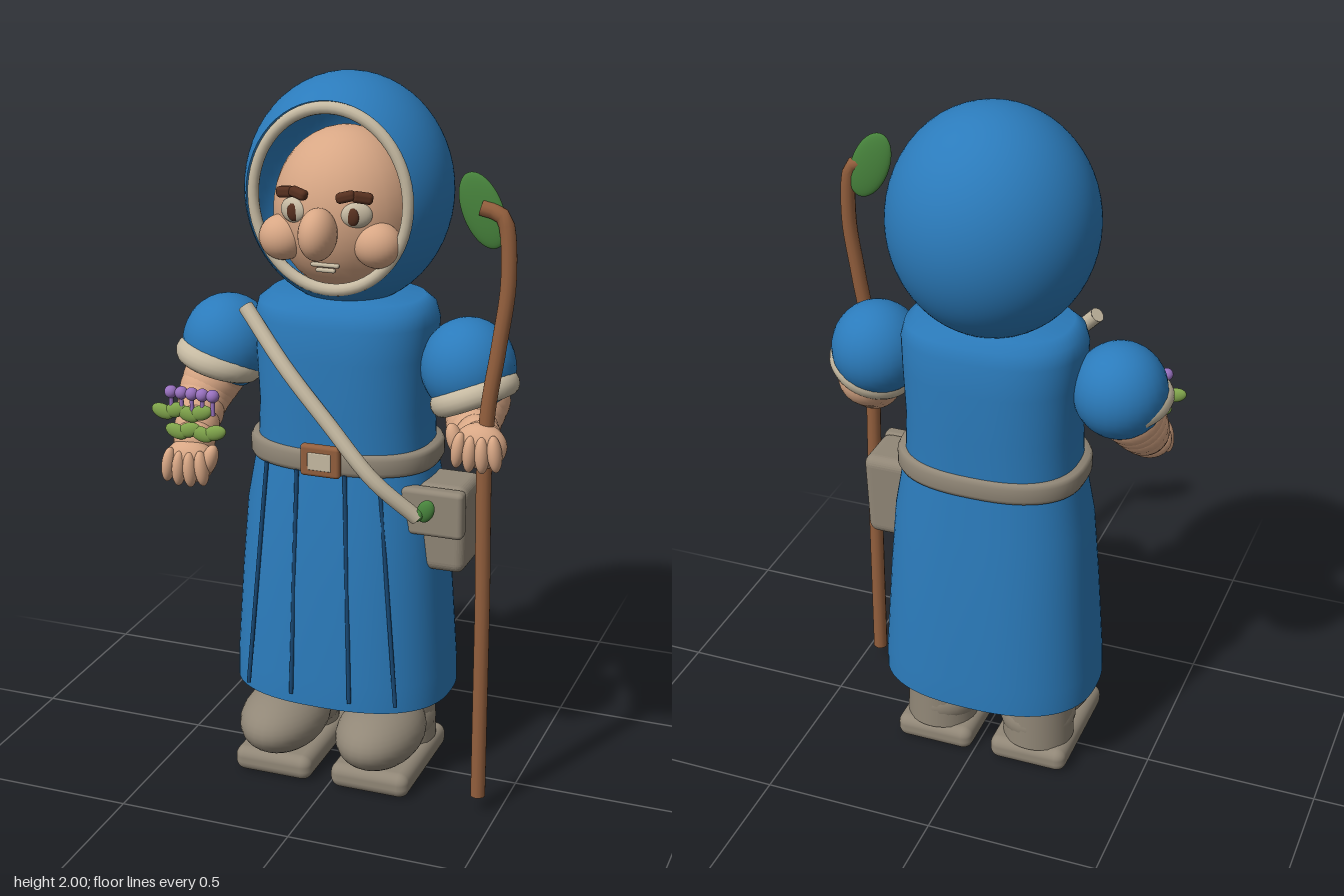
import * as THREE from 'three';
import { RoundedBoxGeometry } from 'three/addons/geometries/RoundedBoxGeometry.js';

const mat = (name, color, side = THREE.FrontSide) => {
  const m = new THREE.MeshStandardMaterial({ color, side });
  m.name = name;
  return m;
};
const V = (x, y, z) => new THREE.Vector3(x, y, z);

export function createModel() {
  const blue = mat('blue cloth', 0x2b7bbb, THREE.DoubleSide);
  const navy = mat('dark blue pleat', 0x17456f);
  const skin = mat('skin', 0xd8a785);
  const cream = mat('cream trim', 0xc6baa2);
  const taupe = mat('taupe leather', 0x918777);
  const wood = mat('brown wood', 0x935f3d);
  const hair = mat('dark brown', 0x56301f);
  const leafGreen = mat('leaf green', 0x47833c);
  const sprigGreen = mat('sprig green', 0x7ea24a);
  const purple = mat('purple', 0x9770bd);

  const model = new THREE.Group();
  const CX = -0.023; // body centre line

  const add = (name, geo, material, pos = [0, 0, 0], rot = [0, 0, 0], parent = model) => {
    const m = new THREE.Mesh(geo, material);
    m.name = name;
    m.position.set(...pos);
    m.rotation.set(...rot);
    parent.add(m);
    return m;
  };
  const blob = (name, material, pos, r, rot, parent) =>
    add(name, new THREE.SphereGeometry(1, 28, 20), material, pos, rot, parent).scale.set(...r);
  const box = (name, material, pos, s, radius, rot, parent) =>
    add(name, new RoundedBoxGeometry(...s, 3, radius), material, pos, rot, parent);
  // round rod with flat ends following a curve
  const rod = (name, material, pts, r, steps = 24, parent = model) => {
    const curve = new THREE.CatmullRomCurve3(pts.map(p => V(...p)), false, 'centripetal');
    add(name, new THREE.TubeGeometry(curve, steps, r, 12), material, [0, 0, 0], [0, 0, 0], parent);
    [0, 1].forEach(t => {
      const cap = add(name + 'End', new THREE.CircleGeometry(r, 12), material, curve.getPoint(t).toArray(), [0, 0, 0], parent);
      cap.quaternion.setFromUnitVectors(V(0, 0, 1), curve.getTangent(t).multiplyScalar(t ? 1 : -1));
    });
  };
  // closed body lofted through superellipse rings [y, halfWidth, halfDepth, zCentre]
  const loft = (rings, n = 64, power = 2.5) => {
    const pos = [], idx = [];
    const soft = c => Math.sign(c) * Math.abs(c) ** (2 / power);
    rings.forEach(([y, rx, rz, cz]) => {
      for (let i = 0; i < n; i++) {
        const a = i / n * Math.PI * 2;
        pos.push(CX + soft(Math.cos(a)) * rx, y, cz + soft(Math.sin(a)) * rz);
      }
    });
    for (let j = 0; j < rings.length - 1; j++) for (let i = 0; i < n; i++) {
      const a = j * n + i, b = j * n + (i + 1) % n;
      idx.push(a, a + n, b, b, a + n, b + n);
    }
    const g = new THREE.BufferGeometry();
    g.setAttribute('position', new THREE.Float32BufferAttribute(pos, 3));
    g.setIndex(idx);
    g.computeVertexNormals();
    return g;
  };

  // robe
  add('tunic', loft([[0.94, 0.25, 0.185, -0.025], [1.1, 0.243, 0.187, -0.025], [1.25, 0.25, 0.192, -0.025],
    [1.34, 0.255, 0.185, -0.025], [1.38, 0.245, 0.172, -0.025], [1.405, 0.215, 0.15, -0.025], [1.41, 0.001, 0.001, -0.025]]), blue);
  add('skirt', loft([[0.255, 0.001, 0.001, -0.023], [0.25, 0.315, 0.233, -0.023]]), blue);
  add('skirt', loft([[0.25, 0.317, 0.235, -0.023], [0.33, 0.316, 0.234, -0.023], [0.6, 0.298, 0.22, -0.023],
    [0.8, 0.282, 0.203, -0.023], [0.95, 0.255, 0.188, -0.025]]), blue);
  [[-0.2, -0.245, 0.14, 0.19], [-0.1, -0.105, 0.166, 0.213], [0.04, 0.07, 0.166, 0.213], [0.13, 0.199, 0.14, 0.19]]
    .forEach(([x0, x1, z0, z1]) => rod('pleat', navy, [[x0, 0.94, z0], [x1, 0.28, z1]], 0.006, 2));

  // belt and buckle
  add('belt', loft([[0.935, 0.25, 0.18, -0.025], [0.937, 0.265, 0.193, -0.025], [0.95, 0.271, 0.2, -0.025],
    [0.985, 0.271, 0.2, -0.025], [0.998, 0.265, 0.193, -0.025], [1.0, 0.24, 0.175, -0.025]]), taupe);
  box('buckle', wood, [CX, 0.98, 0.182], [0.115, 0.09, 0.026], 0.01);
  box('bucklePlate', cream, [CX, 0.98, 0.194], [0.068, 0.05, 0.008], 0.003);

  // hood open at the front, with trim
  const open = Math.acos(0.155 / 0.275);
  const hood = add('hood', new THREE.SphereGeometry(1, 56, 36, 0, Math.PI * 2, open, Math.PI - open).rotateX(Math.PI / 2),
    blue, [CX, 1.685, -0.04]);
  hood.scale.set(0.285, 0.315, 0.275);
  add('hoodTrim', new THREE.TorusGeometry(1, 0.07, 12, 64), cream, [CX, 1.683, 0.108]).scale.set(0.218, 0.243, 0.22);

  // face
  blob('face', skin, [CX, 1.635, -0.02], [0.2, 0.225, 0.19]);
  blob('nose', skin, [CX, 1.61, 0.195], [0.05, 0.07, 0.065]);
  box('upperLip', cream, [CX, 1.516, 0.143], [0.08, 0.011, 0.014], 0.005);
  box('lowerLip', cream, [CX, 1.501, 0.139], [0.055, 0.011, 0.014], 0.005);
  for (const s of [-1, 1]) {
    blob('cheek', skin, [CX + s * 0.134, 1.573, 0.105], [0.066, 0.062, 0.06]);
    blob('eye', cream, [CX + s * 0.088, 1.657, 0.142], [0.042, 0.034, 0.02], [0, s * 0.35, 0]);
    blob('iris', hair, [CX + s * 0.083, 1.655, 0.157], [0.018, 0.024, 0.01]);
    box('brow', hair, [CX + s * 0.108, 1.706, 0.15], [0.055, 0.03, 0.028], 0.011, [0, s * 0.4, -s * 0.15]);
    box('brow', hair, [CX + s * 0.066, 1.708, 0.164], [0.052, 0.028, 0.028], 0.011, [0, s * 0.2, s * 0.25]);
  }

  // sleeves, arms and hands
  const arm = (name, sleeve, cuff, axis, path, hand) => {
    const g = new THREE.Group();
    g.name = name;
    model.add(g);
    blob('sleeve', blue, sleeve, [0.13, 0.135, 0.13], [0, 0, 0], g);
    const ring = add('cuff', new THREE.TorusGeometry(0.098, 0.028, 14, 40), cream, cuff, [0, 0, 0], g);
    ring.quaternion.setFromUnitVectors(V(0, 0, 1), V(...axis).normalize());
    ring.scale.z = 1.2;
    const curve = new THREE.CatmullRomCurve3(path.map(p => V(...p)));
    for (let i = 0; i <= 6; i++) {
      const r = 0.088 - i * 0.005;
      blob('forearm', skin, curve.getPoint(i / 6).toArray(), [r, r, r], [0, 0, 0], g);
    }
    const [x, y, z] = hand;
    blob('palm', skin, hand, [0.072, 0.062, 0.05], [0, 0, 0], g);
    for (let i = 0; i < 4; i++) {
      const u = i - 1.5;
      blob('finger', skin, [x + u * 0.033, y - 0.015 + Math.abs(u) * 0.006, z + 0.042 - Math.abs(u) * 0.005],
        [0.019, 0.05, 0.024], [0, 0, u * 0.08], g);
    }
    blob('thumb', skin, [x - Math.sign(x) * 0.065, y + 0.015, z + 0.015], [0.022, 0.045, 0.025], [0, 0, Math.sign(x) * 0.3], g);
  };
  arm('rightArm', [-0.372, 1.232, -0.005], [-0.39, 1.185, 0.02], [-0.27, -0.96, 0.12],
    [[-0.4, 1.15, 0.02], [-0.42, 1.08, 0.07], [-0.39, 1.0, 0.2]], [-0.385, 0.955, 0.24]);
  arm('leftArm', [0.332, 1.232, -0.005], [0.358, 1.165, 0.015], [0.4, -0.92, 0.12],
    [[0.36, 1.14, -0.01], [0.365, 1.085, 0.05], [0.425, 1.085, 0.17]], [0.43, 1.085, 0.195]);

  // herb sprig in the right hand
  [[-0.398, 1.098], [-0.358, 1.045]].forEach(([x, y]) => {
    for (let i = 0; i < 4; i++)
      blob('sprigLeaf', sprigGreen, [x + (i - 1.5) * 0.038, y + (i % 2 ? 0.005 : -0.003), 0.258],
        [0.034, 0.021, 0.013], [0, 0, i % 2 ? 0.3 : -0.3]);
  });
  for (let i = 0; i < 5; i++) {
    const x = -0.428 + i * 0.031;
    blob('flower', purple, [x, 1.155, 0.26], [0.018, 0.018, 0.018]);
    rod('flowerStem', purple, [[x, 1.1, 0.26], [x, 1.15, 0.26]], 0.006, 2);
  }

  // staff with a leaf
  rod('staff', wood, [[0.443, 0.05, 0.185], [0.443, 0.6, 0.185], [0.443, 1.15, 0.185], [0.468, 1.35, 0.177],
    [0.487, 1.53, 0.168], [0.472, 1.68, 0.16], [0.455, 1.697, 0.16], [0.41, 1.71, 0.165]], 0.021, 60);
  blob('staffLeaf', leafGreen, [0.41, 1.7, 0.153], [0.055, 0.103, 0.015], [0, 0, 0.4]);

  // shoulder strap and satchel
  rod('strap', cream, [[-0.262, 1.375, 0.125], [-0.13, 1.23, 0.17], [0.0, 1.09, 0.185], [0.13, 0.945, 0.187], [0.24, 0.835, 0.14]], 0.021);
  const satchel = new RoundedBoxGeometry(0.155, 0.255, 0.175, 4, 0.03);
  const p = satchel.attributes.position;
  for (let i = 0; i < p.count; i++) {
    const k = 0.9 + 0.4 * p.getY(i); // narrower towards the bottom
    p.setX(i, p.getX(i) * k);
    p.setZ(i, p.getZ(i) * k);
  }
  satchel.computeVertexNormals();
  add('satchel', satchel, taupe, [0.287, 0.782, 0.003]);
  box('satchelFlap', taupe, [0.27, 0.84, 0.095], [0.18, 0.135, 0.045], 0.014);
  blob('satchelLeaf', leafGreen, [0.262, 0.855, 0.135], [0.024, 0.034, 0.014], [0, 0, -0.4]);
  blob('satchelLeaf', leafGreen, [0.237, 0.843, 0.145], [0.022, 0.018, 0.012], [0, 0, 0.4]);

  // boots
  for (const s of [-1, 1]) {
    const x = CX + s * 0.147;
    add('bootShaft', new THREE.CylinderGeometry(0.1, 0.105, 0.24, 32), taupe, [x + s * 0.005, 0.19, -0.058]);
    blob('bootHeel', taupe, [x, 0.135, -0.05], [0.112, 0.09, 0.112]);
    blob('bootToe', taupe, [x, 0.15, 0.095], [0.123, 0.095, 0.18]);
    box('bootSole', taupe, [x, 0.037, 0.027], [0.235, 0.074, 0.375], 0.03);
  }
  return model;
}
